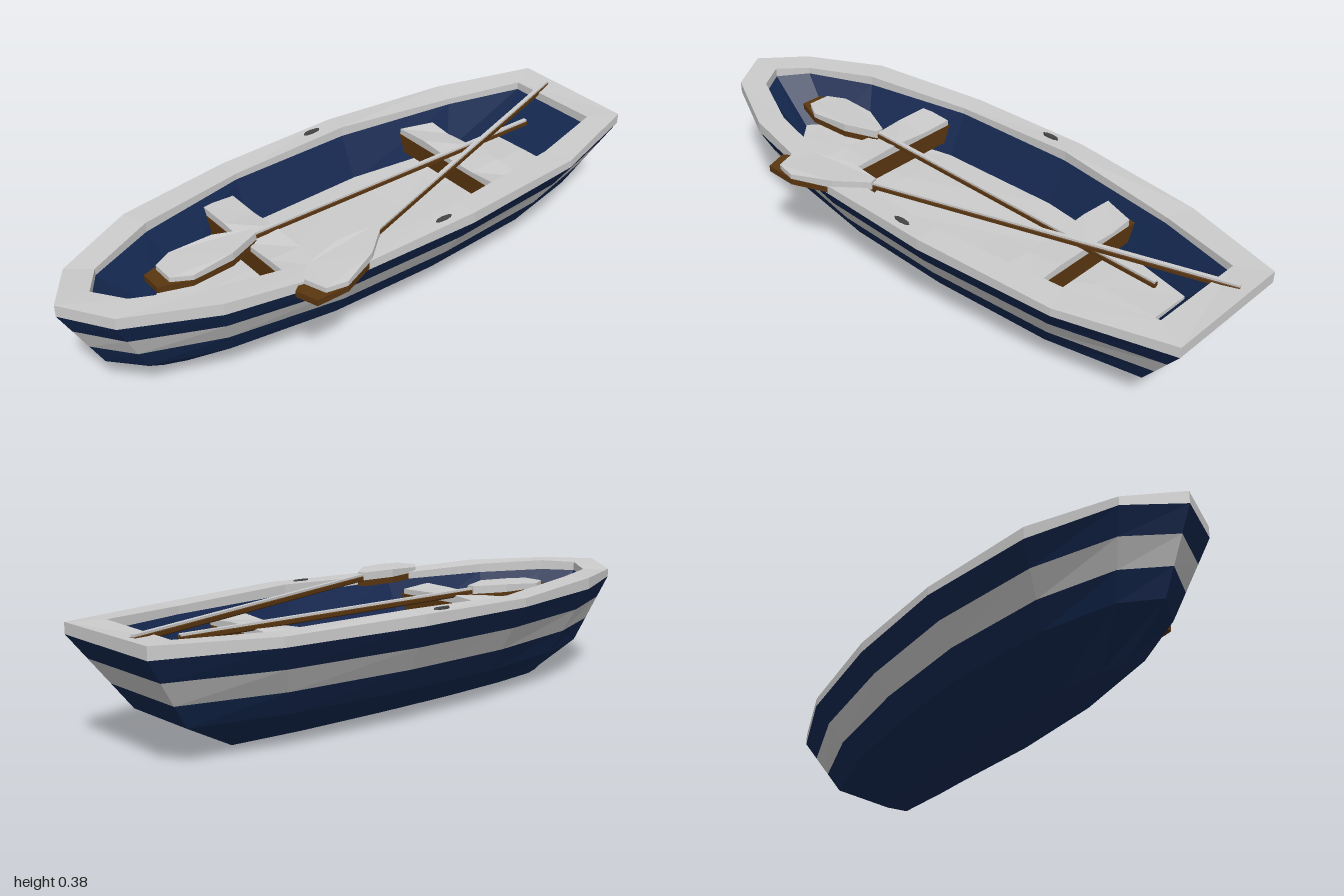
import * as THREE from 'three';

const CX = -0.025; // centre line of the boat
const mat = (color) => new THREE.MeshStandardMaterial({ color, flatShading: true, side: THREE.DoubleSide });
const navy = mat(0x142850), pale = mat(0xcccccc), wood = mat(0x5a3610), dark = mat(0x444444);

// Half outlines as [half width, z], from stern to bow
const OUTER = [[0.215, -1], [0.32, -0.66], [0.362, -0.2], [0.352, 0.23], [0.274, 0.63], [0.15, 0.89], [0, 0.99]];
const INNER = [[0.165, -0.9], [0.232, -0.63], [0.287, -0.2], [0.275, 0.23], [0.195, 0.6], [0.095, 0.82], [0, 0.885]];
const FLOOR = [[0.14, -0.78], [0.175, -0.58], [0.22, -0.2], [0.21, 0.23], [0.125, 0.55], [0.06, 0.68], [0, 0.735]];

// Full mirrored ring from a half outline; height may be a number or a rule
function ring(half, y) {
  const left = half.map(([w, z]) => [CX + w, z]);
  const right = half.slice(0, -1).reverse().map(([w, z]) => [CX - w, z]);
  return [...left, ...right].map(([x, z]) => [x, typeof y === 'number' ? y : y(x, z), z]);
}

// Outer outline scaled in width and squeezed into a z range
const squeeze = (s, z0, z1) => OUTER.map(([w, z]) => [w * s, z0 + ((z + 1) / 1.99) * (z1 - z0)]);
const collapse = (half) => half.map(([, z]) => [0, z]);

// Skin between successive closed rings
function loft(rings) {
  const n = rings[0].length, pos = rings.flat(2), idx = [];
  for (let r = 0; r < rings.length - 1; r++) {
    for (let i = 0; i < n; i++) {
      const a = r * n + i, b = r * n + (i + 1) % n, c = a + n, d = b + n;
      idx.push(a, c, b, b, c, d);
    }
  }
  const g = new THREE.BufferGeometry();
  g.setAttribute('position', new THREE.Float32BufferAttribute(pos, 3));
  g.setIndex(idx);
  const flat = g.toNonIndexed();
  flat.computeVertexNormals();
  return flat;
}

// Move every vertex by a rule
function reshape(g, rule) {
  const p = g.attributes.position, v = new THREE.Vector3();
  for (let i = 0; i < p.count; i++) {
    rule(v.fromBufferAttribute(p, i));
    p.setXYZ(i, v.x, v.y, v.z);
  }
  g.computeVertexNormals();
  return g;
}

function add(parent, name, geometry, material, x = 0, y = 0, z = 0) {
  const m = new THREE.Mesh(geometry, material);
  m.name = name;
  m.position.set(x, y, z);
  parent.add(m);
  return m;
}

// Hull section between the chine (y 0.11) and the gunwale (y 0.33)
function sideRing(y) {
  const t = (y - 0.11) / 0.22;
  return ring(squeeze(0.627 + 0.373 * t, -0.845 - 0.155 * t, 0.87 + 0.12 * t), y);
}

// Oar along +z from its handle, with a pale layer on its upper faces
function oar(name) {
  const g = new THREE.Group();
  g.name = name;
  const shaft = new THREE.CylinderGeometry(0.011, 0.011, 1.18, 6).rotateX(Math.PI / 2);
  add(g, 'oarShaft', shaft, wood, 0, 0, 0.59);
  add(g, 'oarShaftCover', new THREE.BoxGeometry(0.013, 0.008, 1.18), pale, 0, 0.01, 0.59);
  const blade = (end, depth) => {
    const half = [[0.013, 1.12], [0.058, 1.23], [0.07, 1.37], [0.037, end]];
    const pts = [...half, ...half.slice().reverse().map(([x, z]) => [-x, z])];
    const shape = new THREE.Shape(pts.map(([x, z]) => new THREE.Vector2(x, -z)));
    return new THREE.ExtrudeGeometry(shape, { depth, bevelEnabled: false }).rotateX(-Math.PI / 2);
  };
  add(g, 'oarBlade', blade(1.47, 0.02), wood, 0, -0.026, 0);
  const cover = reshape(blade(1.43, 0.016), (v) => {
    if (v.y > 0.01 && v.z < 1.25) v.y += 0.01;
  });
  add(g, 'oarBladeCover', cover, pale, 0, -0.006, 0);
  return g;
}

export function createModel() {
  const boat = new THREE.Group();
  boat.name = 'rowingBoat';

  // Outer hull: keel, chine, painted stripe and upper band
  const keel = squeeze(0.17, -0.64, 0.69);
  add(boat, 'lowerHull', loft([ring(collapse(keel), 0), ring(keel, 0), sideRing(0.11), sideRing(0.185)]), navy);
  add(boat, 'hullStripe', loft([sideRing(0.185), sideRing(0.26)]), pale);
  add(boat, 'upperHull', loft([sideRing(0.26), sideRing(0.33)]), navy);

  // Inner wall and floor
  add(boat, 'innerHull', loft([ring(INNER, 0.335), ring(FLOOR, 0.19)]), navy);
  const floorTop = (x, z) => 0.203 + 0.005 * Math.sin(9 * x + 7 * z);
  add(boat, 'floor', loft([ring(FLOOR, 0.185), ring(FLOOR, floorTop), ring(collapse(FLOOR), floorTop)]), pale);

  // Uneven pale rim around the gunwale
  const rimTop = (x, z) => 0.362 + 0.006 * Math.sin(11 * x + 8 * z);
  add(boat, 'rim', loft([ring(OUTER, 0.33), ring(OUTER, rimTop), ring(INNER, rimTop), ring(INNER, 0.33), ring(OUTER, 0.33)]), pale);

  // Two benches with an uneven cover
  for (const [name, z] of [['frontBench', 0.325], ['rearBench', -0.47]]) {
    const bench = new THREE.Group();
    bench.name = name;
    bench.position.set(CX, 0, z);
    boat.add(bench);
    add(bench, 'benchPlank', new THREE.BoxGeometry(0.495, 0.06, 0.115), wood, 0, 0.26, 0);
    const cover = reshape(new THREE.BoxGeometry(0.475, 0.022, 0.111, 4, 1, 1), (v) => {
      if (v.y > 0) v.y += 0.006 * Math.sin(17 * v.x + 30 * v.z + 9 * z);
      if (name === 'rearBench' && v.x < -0.2 && v.z < 0) v.x += 0.04;
    });
    add(bench, 'benchCover', cover, pale, 0, 0.3, 0);
  }

  // Oarlock on each side
  for (const side of [-1, 1]) {
    const lock = add(boat, side > 0 ? 'leftOarlock' : 'rightOarlock',
      new THREE.CylinderGeometry(0.03, 0.038, 0.03, 8), dark, CX + side * 0.328, 0.354, -0.105);
    lock.scale.x = 0.3;
  }

  // One oar lies along the benches, the other across the rim
  const inside = oar('insideOar');
  inside.position.set(-0.02, 0.318, -0.77);
  inside.rotation.y = -0.006;
  const across = oar('acrossOar');
  across.position.set(-0.12, 0.36, -0.97);
  across.rotation.y = 0.319;
  boat.add(inside, across);

  return boat;
}
